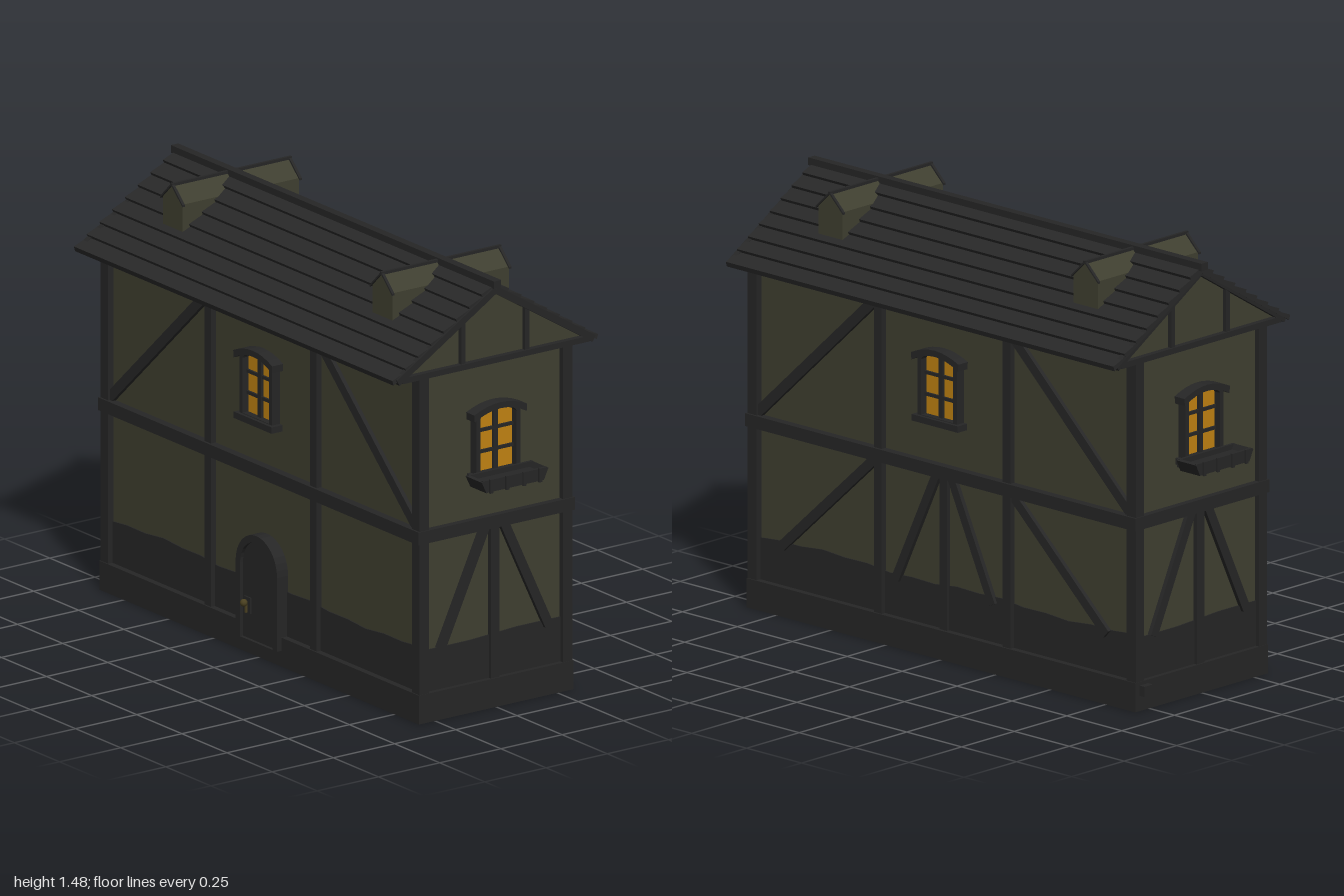
import * as THREE from 'three';

const mat = (name, color) => {
  const m = new THREE.MeshStandardMaterial({ color });
  m.name = name;
  return m;
};
const plaster = mat('olive plaster', 0x3f3f30);
const timber = mat('dark timber', 0x262626);
const roofMat = mat('roof shingles', 0x282828);
const glass = mat('amber glass', 0xc08212);
const brass = mat('dull brass', 0x4a4020);

const WX = 0.865, WZ = 0.29; // wall half sizes

function add(parent, name, geo, material, x = 0, y = 0, z = 0) {
  const m = new THREE.Mesh(geo, material);
  m.name = name;
  m.position.set(x, y, z);
  parent.add(m);
  return m;
}
const box = (parent, name, material, w, h, d, x, y, z) =>
  add(parent, name, new THREE.BoxGeometry(w, h, d), material, x, y, z);

// Straight timber between two points on a wall, standing proud of it by depth
function beam(parent, name, x1, y1, x2, y2, width, depth = 0.015) {
  const len = Math.hypot(x2 - x1, y2 - y1);
  const b = box(parent, name, timber, len, width, depth, (x1 + x2) / 2, (y1 + y2) / 2, depth / 2);
  b.rotation.z = Math.atan2(y2 - y1, x2 - x1);
  return b;
}

const extrude = (shape, depth) =>
  new THREE.ExtrudeGeometry(shape, { depth, bevelEnabled: false, curveSegments: 12 });
const poly = (pts) => new THREE.Shape(pts.map(([x, y]) => new THREE.Vector2(x, y)));

// Profile in (z, y), extruded along x and centred
function alongX(pts, length) {
  const g = extrude(poly(pts), length);
  g.translate(0, 0, -length / 2);
  g.rotateY(Math.PI / 2);
  return g;
}

// Outline with straight sides and a curved top
function archPoints(w, y0, ySide, yTop, n = 10) {
  const pts = [[-w, y0], [w, y0]];
  for (let i = 0; i <= n; i++) {
    const a = (i / n) * Math.PI;
    pts.push([w * Math.cos(a), ySide + (yTop - ySide) * Math.sin(a)]);
  }
  return pts;
}

// Wall frame facing +z locally, z = 0 on the wall surface
function wallFace(house, name, angle, distance) {
  const g = new THREE.Group();
  g.name = name;
  g.rotation.y = angle;
  g.position.set(Math.sin(angle) * distance, 0, Math.cos(angle) * distance);
  house.add(g);
  return g;
}

// Dark lower wall with an uneven top edge
function lowerBand(g, half) {
  const pts = [[-half, 0.08], [half, 0.08]];
  const n = Math.round(half * 20);
  for (let i = 0; i <= n; i++) {
    const x = half - (2 * half * i) / n;
    pts.push([x, 0.25 + 0.006 * Math.sin(x * 9) + 0.003 * Math.sin(x * 31)]);
  }
  add(g, 'lowerWallBand', extrude(poly(pts), 0.004), timber);
}

function addWindow(parent, x) {
  const g = new THREE.Group();
  g.name = 'window';
  g.position.x = x;
  parent.add(g);
  const frame = poly(archPoints(0.09, 0.815, 1.02, 1.045));
  frame.holes.push(poly(archPoints(0.073, 0.825, 1.015, 1.037)));
  add(g, 'windowFrame', extrude(frame, 0.033), timber);
  add(g, 'windowGlass', extrude(poly(archPoints(0.075, 0.82, 1.015, 1.04)), 0.008), glass);
  box(g, 'mullion', timber, 0.018, 0.215, 0.018, 0, 0.927, 0.009);
  for (const y of [0.893, 0.967]) box(g, 'glazingBar', timber, 0.148, 0.011, 0.016, 0, y, 0.008);
  box(g, 'windowSill', timber, 0.21, 0.022, 0.045, 0, 0.812, 0.0225);
  // Bowed lintel
  const lintel = [], n = 8;
  for (let i = 0; i <= n; i++) {
    const t = (i / n) * 2 - 1;
    lintel.push([t * 0.108, 1.061 - 0.026 * t * t]);
  }
  for (let i = n; i >= 0; i--) {
    const t = (i / n) * 2 - 1;
    lintel.push([t * 0.106, 1.04 - 0.03 * t * t]);
  }
  add(g, 'windowLintel', extrude(poly(lintel.reverse()), 0.045), timber);
}

// Open planter with flared ends and small slats
function addPlanter(g) {
  const side = poly([[-0.112, 0.79], [0.112, 0.79], [0.132, 0.832], [-0.132, 0.832]]);
  add(g, 'planterFront', extrude(side, 0.01), timber, 0, 0, 0.115);
  add(g, 'planterBack', extrude(side, 0.01), timber, 0, 0, 0.035);
  box(g, 'planterSoil', timber, 0.235, 0.02, 0.075, 0, 0.804, 0.08);
  for (const s of [-1, 1]) {
    const end = box(g, 'planterEnd', timber, 0.01, 0.044, 0.09, s * 0.122, 0.811, 0.08);
    end.rotation.z = -s * 0.44;
    box(g, 'planterBracket', timber, 0.014, 0.02, 0.08, s * 0.09, 0.8, 0.04);
  }
  for (const x of [-0.1, -0.035, 0.035, 0.1])
    box(g, 'planterSlat', timber, 0.012, 0.048, 0.008, x, 0.811, 0.128);
}

function addDoor(g) {
  const d = new THREE.Group();
  d.name = 'door';
  d.position.x = 0.01;
  g.add(d);
  const frame = poly(archPoints(0.115, 0.055, 0.31, 0.425, 16));
  frame.holes.push(poly(archPoints(0.09, 0.055, 0.31, 0.4, 16)));
  add(d, 'doorFrame', extrude(frame, 0.045), timber);
  add(d, 'doorLeaf', extrude(poly(archPoints(0.092, 0.055, 0.31, 0.402, 16)), 0.033), timber);
  box(d, 'latchPlate', timber, 0.035, 0.055, 0.006, -0.06, 0.17, 0.036);
  add(d, 'doorKnob', new THREE.SphereGeometry(0.013, 10, 8), brass, -0.06, 0.18, 0.052);
  box(d, 'latch', brass, 0.008, 0.03, 0.008, -0.06, 0.16, 0.043);
}

function longWall(house, name, angle, isFront) {
  const g = wallFace(house, name, angle, WZ);
  lowerBand(g, WX);
  addWindow(g, -0.01);
  for (const s of [-1, 1]) {
    beam(g, 'innerPost', s * 0.293, 0.1, s * 0.293, 1.2, 0.036, 0.02);
    beam(g, 'upperBrace', s * 0.85, 0.67, s * 0.3, 1.18, 0.036);
    if (!isFront) {
      beam(g, 'lowerBrace', s * 0.3, 0.635, s * 0.74, 0.235, 0.034);
      beam(g, 'middleBrace', s * 0.03, 0.635, s * 0.22, 0.23, 0.032);
    }
  }
  if (isFront) addDoor(g);
  else beam(g, 'middleStud', 0, 0.1, 0, 0.63, 0.034);
}

function gableWall(house, name, angle) {
  const g = wallFace(house, name, angle, WX);
  lowerBand(g, WZ);
  addWindow(g, 0);
  addPlanter(g);
  beam(g, 'middleStud', 0, 0.1, 0, 0.63, 0.036);
  beam(g, 'tieBeam', -0.38, 1.2, 0.38, 1.2, 0.02, 0.02);
  for (const s of [-1, 1]) {
    beam(g, 'lowerBrace', s * 0.035, 0.635, s * 0.22, 0.24, 0.034);
    beam(g, 'gableStud', s * 0.13, 1.2, s * 0.13, 1.365, 0.018);
    beam(g, 'bargeBoard', 0, 1.443, s * 0.4, 1.197, 0.024, 0.02);
  }
}

function addRoof(house) {
  const roof = new THREE.Group();
  roof.name = 'roof';
  house.add(roof);
  // Saw-toothed courses of shingles on both slopes
  const rows = 8, E = 0.415, top = 1.458, drop = 0.262, half = [];
  for (let i = 0; i < rows; i++) {
    const a = i / rows, b = (i + 1) / rows;
    half.push([E * a, top - drop * a + 0.001], [E * b + 0.005, top - drop * b + 0.011]);
  }
  half.push([E, top - drop - 0.006]);
  const left = half.slice(1).reverse().map(([z, y]) => [-z, y]);
  add(roof, 'shingles', alongX([...left, ...half, [0, top - 0.02]], 1.765), roofMat, -0.003);
  box(roof, 'ridgeBeam', timber, 1.79, 0.026, 0.03, -0.003, 1.463, 0);
  box(roof, 'soffit', timber, 1.72, 0.008, 0.76, 0, 1.196, 0);
  // Dormers running through the ridge to both slopes
  for (const x of [-0.585, 0.577]) {
    const d = new THREE.Group();
    d.name = 'dormer';
    d.position.x = x;
    roof.add(d);
    const body = poly([[-0.055, 1.31], [0.055, 1.31], [0.055, 1.41], [0, 1.463], [-0.055, 1.41]]);
    add(d, 'dormerBody', extrude(body, 0.476), plaster, 0, 0, -0.238);
    box(d, 'dormerRidge', timber, 0.01, 0.01, 0.49, 0, 1.466, 0);
    for (const s of [-1, 1]) {
      const rim = poly([[-0.062, 1.404], [0, 1.463], [0.062, 1.404], [0.062, 1.411], [0, 1.471], [-0.062, 1.411]]);
      add(d, 'dormerRim', extrude(rim, 0.01), timber, 0, 0, s * 0.239 - 0.005);
    }
  }
}

export function createModel() {
  const house = new THREE.Group();
  house.name = 'timberHouse';
  // Core walls, gable and plinth
  box(house, 'walls', plaster, WX * 2, 1.14, WZ * 2, 0, 0.63, 0);
  add(house, 'gableCore', alongX([[-0.38, 1.198], [0.38, 1.198], [0, 1.438]], WX * 2), plaster);
  box(house, 'plinth', timber, 1.77, 0.1, 0.632, 0, 0.05, 0);
  for (const s of [-1, 1]) {
    for (const t of [-1, 1])
      box(house, 'cornerPost', timber, 0.042, 1.1, 0.038, s * 0.863, 0.65, t * 0.293);
    box(house, 'floorBeamLong', timber, 1.77, 0.044, 0.03, 0, 0.643, s * 0.304);
    box(house, 'floorBeamEnd', timber, 0.03, 0.044, 0.638, s * 0.873, 0.643, 0);
  }
  box(house, 'plinthBlock', timber, 0.03, 0.035, 0.04, -0.892, 0.07, -0.275);
  longWall(house, 'frontWall', 0, true);
  longWall(house, 'backWall', Math.PI, false);
  gableWall(house, 'leftGable', Math.PI / 2);
  gableWall(house, 'rightGable', -Math.PI / 2);
  addRoof(house);
  return house;
}
